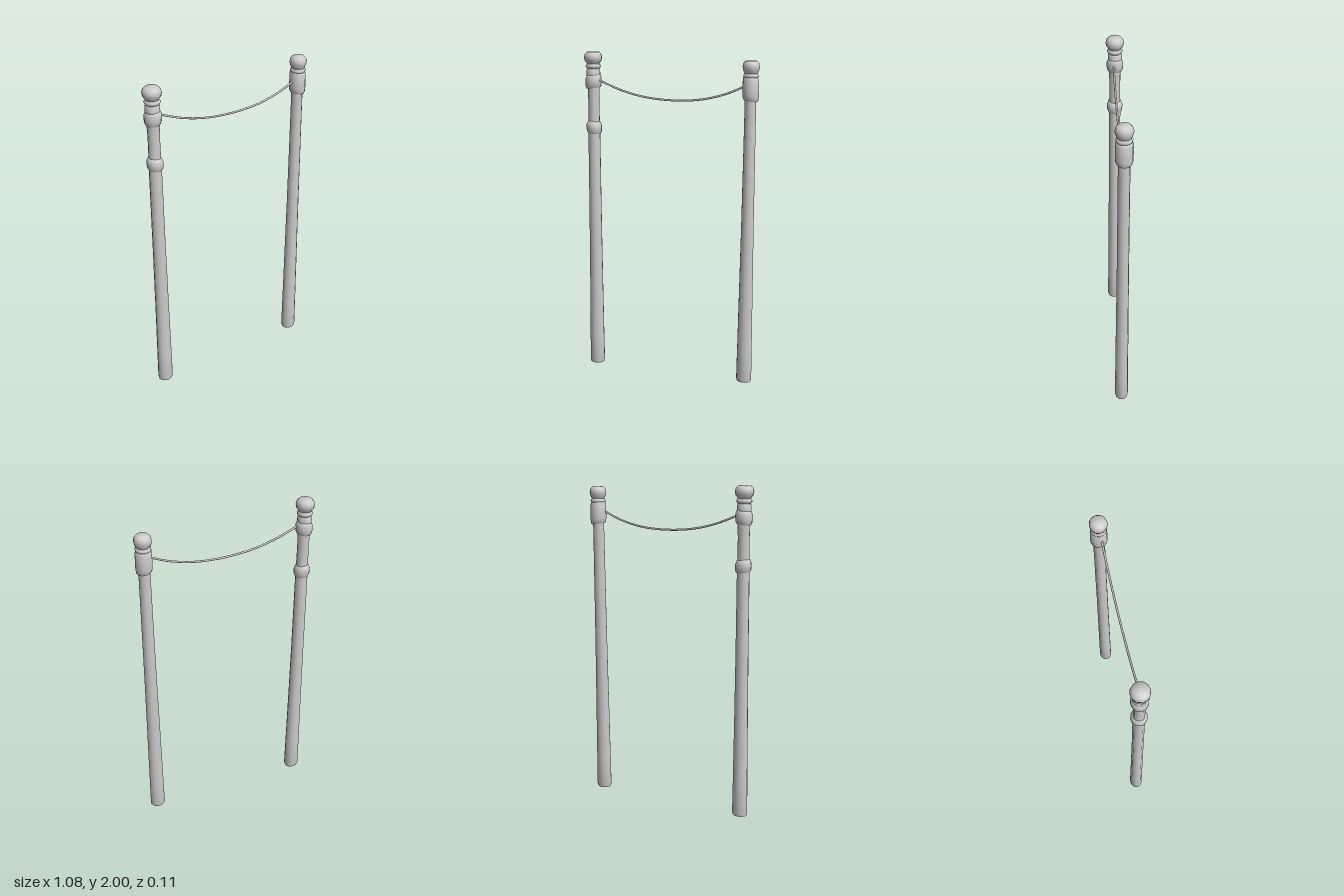
import * as THREE from 'three';
import { toCreasedNormals } from 'three/addons/utils/BufferGeometryUtils.js';

const material = new THREE.MeshStandardMaterial({ color: 0xcccccc });

// Turned part from [radius, y] pairs; centre and roundness follow the leaning post
function turned(name, profile, centre, depth = () => 1, tilt = 0) {
  const points = profile.map(([r, y]) => new THREE.Vector2(r, y));
  const geometry = new THREE.LatheGeometry(points, 12);
  const p = geometry.attributes.position;
  for (let i = 0; i < p.count; i++) {
    const y = p.getY(i);
    const [cx, cz] = centre(y);
    p.setXYZ(i, cx + p.getX(i), y + tilt * p.getX(i), cz + p.getZ(i) * depth(y));
  }
  const mesh = new THREE.Mesh(toCreasedNormals(geometry, 0.9), material);
  mesh.name = name;
  return mesh;
}

// Sleeve with softened rims, slightly tilted
function collar(name, bottom, top, r, centre, tilt) {
  return turned(name, [
    [0.03, bottom], [r - 0.008, bottom], [r - 0.002, bottom + 0.012], [r, bottom + 0.035],
    [r - 0.001, top - 0.025], [r - 0.009, top - 0.006], [0.03, top],
  ], centre, () => 1, tilt);
}

// Neck, ring and rounded knob; top is the crown height
function finial(top, r, centre) {
  return turned('finial', [
    [0.042, top - 0.145], [0.042, top - 0.112], [0.037, top - 0.103], [0.045, top - 0.094],
    [0.046, top - 0.084], [0.038, top - 0.074], [0.041, top - 0.068], [r - 0.004, top - 0.055],
    [r, top - 0.037], [r - 0.004, top - 0.017], [r - 0.017, top - 0.003], [0, top],
  ], centre);
}

function post(name, baseX, topX, shaftProfile) {
  const group = new THREE.Group();
  group.name = name;
  const centre = (y) => {
    const t = Math.min(y / 1.8, 1);
    return [baseX + (topX - baseX) * t, 0.013 * (1 - t)];
  };
  const depth = (y) => 0.85 + 0.12 * Math.min(y / 1.7, 1);
  group.add(turned('shaft', shaftProfile, centre, depth));
  return { group, centre };
}

export function createModel() {
  const model = new THREE.Group();
  model.name = 'ropeGate';

  // Taller post with two collars
  const tall = post('tallPost', -0.494, -0.489, [
    [0, 0], [0.044, 0], [0.048, 0.015], [0.046, 0.2], [0.042, 0.6], [0.039, 1],
    [0.037, 1.5], [0.035, 1.6], [0.034, 1.7], [0.037, 1.8], [0.04, 1.87], [0, 1.88],
  ]);
  tall.group.add(
    collar('lowerCollar', 1.505, 1.582, 0.048, tall.centre, -0.1),
    collar('upperCollar', 1.781, 1.866, 0.05, tall.centre, 0.1),
    finial(2, 0.055, tall.centre),
  );

  // Shorter post with one long collar
  const short = post('shortPost', 0.488, 0.489, [
    [0, 0], [0.044, 0], [0.048, 0.015], [0.046, 0.2], [0.042, 0.6], [0.038, 1],
    [0.035, 1.5], [0.034, 1.72], [0.036, 1.85], [0, 1.86],
  ]);
  short.group.add(
    collar('collar', 1.738, 1.885, 0.049, short.centre, -0.16),
    finial(1.968, 0.051, short.centre),
  );

  // Sagging rope between the collars
  const path = new THREE.CatmullRomCurve3(
    [[-0.48, 1.843], [-0.43, 1.822], [-0.3, 1.772], [-0.15, 1.737], [0.035, 1.724],
      [0.2, 1.736], [0.34, 1.771], [0.44, 1.813], [0.48, 1.832]]
      .map(([x, y]) => new THREE.Vector3(x, y, 0.009)));
  const rope = new THREE.Mesh(new THREE.TubeGeometry(path, 40, 0.006, 8), material);
  rope.name = 'rope';

  model.add(tall.group, short.group, rope);
  return model;
}
